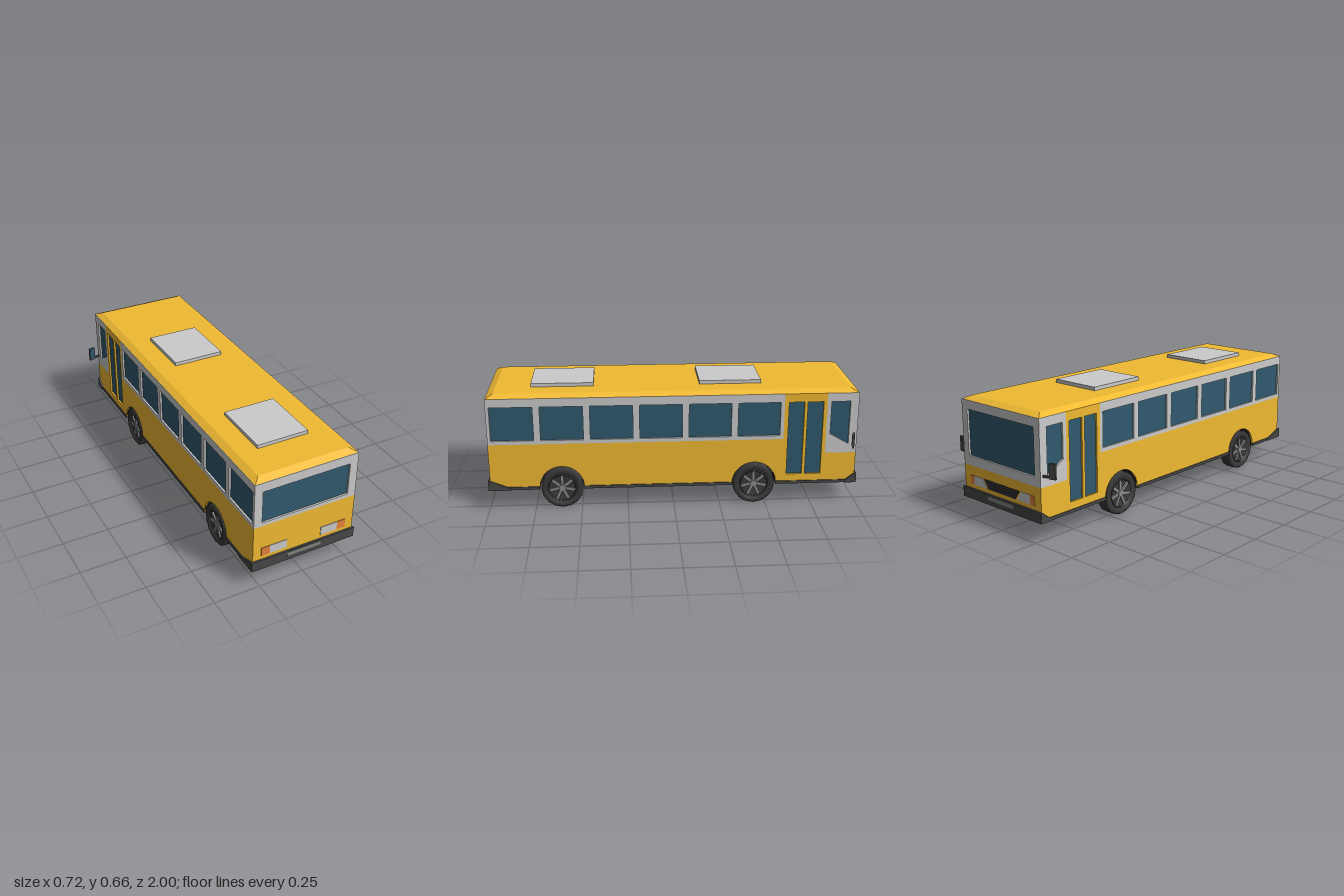
import * as THREE from 'three';

const paint = (color, extra = {}) => new THREE.MeshStandardMaterial({ color, flatShading: true, ...extra });
const YELLOW = paint(0xf0ba32), GREY = paint(0xcccccc), GLASS = paint(0x305a6e), DARK = paint(0x474747);
const AMBER = paint(0xe5833a), PLATE = paint(0x80857f), BLACK = paint(0x2a2a2a), METAL = paint(0x8c8c8c);
const TYRE = paint(0x3a3a3a, { flatShading: false });
const LINER = paint(0x222222, { side: THREE.DoubleSide });

const W = 0.288, L = 0.99, SKIN = 0.01;
const axles = [-0.436, 0.605], ARCH = 0.12;

export function createModel() {
  const bus = new THREE.Group();
  bus.name = 'bus';

  const add = (name, geo, mat, parent = bus) => {
    const m = new THREE.Mesh(geo, mat);
    m.name = name;
    parent.add(m);
    return m;
  };
  // box given by its limits on each axis
  const box = (name, mat, x0, x1, y0, y1, z0, z1, parent) =>
    add(name, new THREE.BoxGeometry(x1 - x0, y1 - y0, z1 - z0)
      .translate((x0 + x1) / 2, (y0 + y1) / 2, (z0 + z1) / 2), mat, parent);
  const poly = (pts) => pts.map(([a, b]) => new THREE.Vector2(a, b));
  const rect = (a0, a1, b0, b1) => [[a0, b0], [a1, b0], [a1, b1], [a0, b1]];
  const panel = (pts, holes, depth) => {
    const shape = new THREE.Shape(poly(pts));
    holes.forEach((h) => shape.holes.push(new THREE.Path(poly(h))));
    return new THREE.ExtrudeGeometry(shape, { depth, bevelEnabled: false });
  };
  // panel drawn in (z, y), its outer face at x = xMax
  const sidePanel = (pts, holes, depth, xMax) =>
    panel(pts, holes, depth).rotateY(-Math.PI / 2).translate(xMax, 0, 0);

  // inner volumes: glazing behind the openings, chassis and floor
  box('glazing', GLASS, -W + SKIN, W - SKIN, 0.25, 0.62, -L + SKIN, L - SKIN);
  box('doorGlazing', GLASS, -W + SKIN, W - SKIN, 0.13, 0.25, -0.83, -0.6);
  box('chassis', DARK, -0.2, 0.2, 0.11, 0.25, -0.98, 0.98);
  box('floorPanel', YELLOW, 0, 0.2, 0.109, 0.112, -0.74, 0.93);

  // side walls
  const lower = [[-L, 0.12]];
  axles.forEach((z) => {
    for (let i = 0; i <= 14; i++) {
      const t = Math.PI * (1 - i / 14);
      lower.push([z + ARCH * Math.cos(t), 0.12 + ARCH * Math.sin(t)]);
    }
  });
  lower.push([L, 0.12], [L, 0.37], [-0.59, 0.37], [-0.59, 0.625], [-0.82, 0.625], [-0.82, 0.285], [-L, 0.285]);
  const doors = [rect(-0.8, -0.714, 0.165, 0.578), rect(-0.697, -0.613, 0.165, 0.578)];
  const windows = [];
  for (let i = 0; i < 6; i++) {
    const z = 0.972 - i * 0.263;
    windows.push(rect(z - 0.227, z, 0.39, 0.578));
  }
  const driverWindow = [[-0.842, 0.578], [-0.945, 0.578], [-0.945, 0.335], [-0.842, 0.395]];
  for (const s of [1, -1]) {
    const side = new THREE.Group();
    side.name = s > 0 ? 'leftSide' : 'rightSide';
    bus.add(side);
    const xMax = s > 0 ? W : -W + SKIN;
    add('lowerWall', sidePanel(lower, doors, SKIN, xMax), YELLOW, side);
    add('windowBand', sidePanel(rect(-0.59, L, 0.37, 0.625), windows, SKIN, xMax), GREY, side);
    add('driverWall', sidePanel(rect(-L, -0.82, 0.285, 0.625), [driverWindow], SKIN, xMax), GREY, side);

    // dark skirt, interrupted by the wheel arches
    for (const [z0, z1] of [[-0.98, -0.556], [-0.316, 0.485], [0.725, 0.98]])
      box('skirt', DARK, s > 0 ? 0.2 : -0.293, s > 0 ? 0.293 : -0.2, 0.11, 0.126, z0, z1, side);

    // wheel arch liners
    for (const z of axles)
      add('archLiner', new THREE.CylinderGeometry(ARCH, ARCH, 0.085, 14, 1, true, 0, Math.PI)
        .rotateZ(Math.PI / 2).rotateX(0).translate(s * 0.2435, 0.12, z), LINER, side);

    // door mirror on its arm
    const mirror = new THREE.Group();
    mirror.name = 'doorMirror';
    mirror.position.set(s * W, 0.342, -0.972);
    mirror.rotation.y = -s * 0.25;
    box('mirrorArm', DARK, Math.min(0, s * 0.071), Math.max(0, s * 0.071), -0.005, 0.005, -0.006, 0.006, mirror);
    const mx = s * 0.053;
    box('mirrorHousing', DARK, mx - 0.018, mx + 0.018, -0.008, 0.07, -0.006, 0.006, mirror);
    box('mirrorGlass', GLASS, mx - 0.016, mx + 0.016, 0.004, 0.068, 0.004, 0.008, mirror);
    side.add(mirror);
  }

  // end walls: the driving end is at -z
  const endWall = (name, z, split, windowRect) => {
    const end = new THREE.Group();
    end.name = name;
    bus.add(end);
    const w = W - 0.0005, z0 = z > 0 ? z - SKIN : z;
    add('endLowerWall', panel(rect(-w, w, 0.12, split), [], SKIN).translate(0, 0, z0), YELLOW, end);
    add('endWindowFrame', panel(rect(-w, w, split, 0.625), [windowRect], SKIN).translate(0, 0, z0), GREY, end);
    return end;
  };
  const rear = endWall('rearEnd', L, 0.37, rect(-0.243, 0.243, 0.39, 0.573));
  const nose = endWall('driverEnd', -L, 0.285, rect(-0.247, 0.247, 0.335, 0.578));

  // lamps: amber outside, clear inside
  for (const s of [1, -1]) {
    const lamp = (name, mat, pts, z, parent) => {
      const p = pts.map(([x, y]) => [s * x, y]);
      add(name, panel(p, [], 0.008).translate(0, 0, z), mat, parent);
    };
    lamp('rearLamp', GREY, rect(0.098, 0.194, 0.187, 0.235), 0.985, rear);
    lamp('rearIndicator', AMBER, rect(0.194, 0.242, 0.187, 0.235), 0.985, rear);
    lamp('headlamp', GREY, [[0.115, 0.187], [0.212, 0.187], [0.212, 0.235], [0.145, 0.235]], -0.993, nose);
    lamp('frontIndicator', AMBER, rect(0.212, 0.242, 0.187, 0.235), -0.993, nose);
  }

  // grille with slats
  add('grille', panel([[-0.1, 0.187], [0.1, 0.187], [0.135, 0.235], [-0.135, 0.235]], [], 0.008)
    .translate(0, 0, -0.992), BLACK, nose);
  for (let i = 0; i < 4; i++) {
    const y = 0.191 + i * 0.012, w = 0.098 + i * 0.009;
    box('grilleSlat', DARK, -w, w, y, y + 0.005, -0.995, -0.985, nose);
  }

  // bumpers wrap round the corners and taper along the sides
  const bumper = (pts) => sidePanel(pts, [], 0.594, 0.297);
  add('rearBumper', bumper([[1, 0.11], [1, 0.165], [0.99, 0.165], [0.875, 0.118], [0.875, 0.11]]), DARK);
  add('frontBumper', bumper([[-1, 0.11], [-1, 0.165], [-0.99, 0.165], [-0.94, 0.126], [-0.94, 0.11]]), DARK);
  box('rearPlate', PLATE, -0.097, 0.097, 0.135, 0.157, 0.99, 1.002);
  box('frontPlate', PLATE, -0.097, 0.097, 0.135, 0.157, -1.002, -0.99);

  // roof with bevelled edges, and two hatches
  const roof = new THREE.BoxGeometry(2 * W, 0.019, 2 * L).translate(0, 0.6335, 0);
  const p = roof.attributes.position;
  for (let i = 0; i < p.count; i++)
    if (p.getY(i) > 0.63) p.setXYZ(i, p.getX(i) * 0.87, p.getY(i), p.getZ(i) * 0.96);
  roof.computeVertexNormals();
  add('roof', roof, YELLOW);
  box('roofHatch', GREY, -0.143, 0.143, 0.64, 0.662, -0.48, -0.145);
  box('roofHatch', GREY, -0.143, 0.143, 0.64, 0.662, 0.425, 0.76);

  // wheels: built with the outer face towards +x
  const tyreProfile = poly([[0, 0], [0.105, 0], [0.113, 0.005], [0.113, 0.066], [0.106, 0.071],
    [0.08, 0.071], [0.074, 0.056], [0, 0.056]]);
  for (const z of axles) for (const s of [1, -1]) {
    const wheel = new THREE.Group();
    wheel.name = 'wheel';
    wheel.position.set(s * 0.217, 0.113, z);
    if (s < 0) wheel.rotation.y = Math.PI;
    add('tyre', new THREE.LatheGeometry(tyreProfile, 16).rotateZ(-Math.PI / 2), TYRE, wheel);
    add('hub', new THREE.CylinderGeometry(0.018, 0.022, 0.014, 10).rotateZ(-Math.PI / 2).translate(0.061, 0, 0), METAL, wheel);
    add('rim', new THREE.TorusGeometry(0.075, 0.004, 4, 16).rotateY(Math.PI / 2).translate(0.066, 0, 0), DARK, wheel);
    for (let i = 0; i < 7; i++)
      add('spoke', new THREE.BoxGeometry(0.008, 0.06, 0.016).translate(0.06, 0.044, 0)
        .rotateX(i * Math.PI * 2 / 7), METAL, wheel);
    bus.add(wheel);
  }
  return bus;
}
